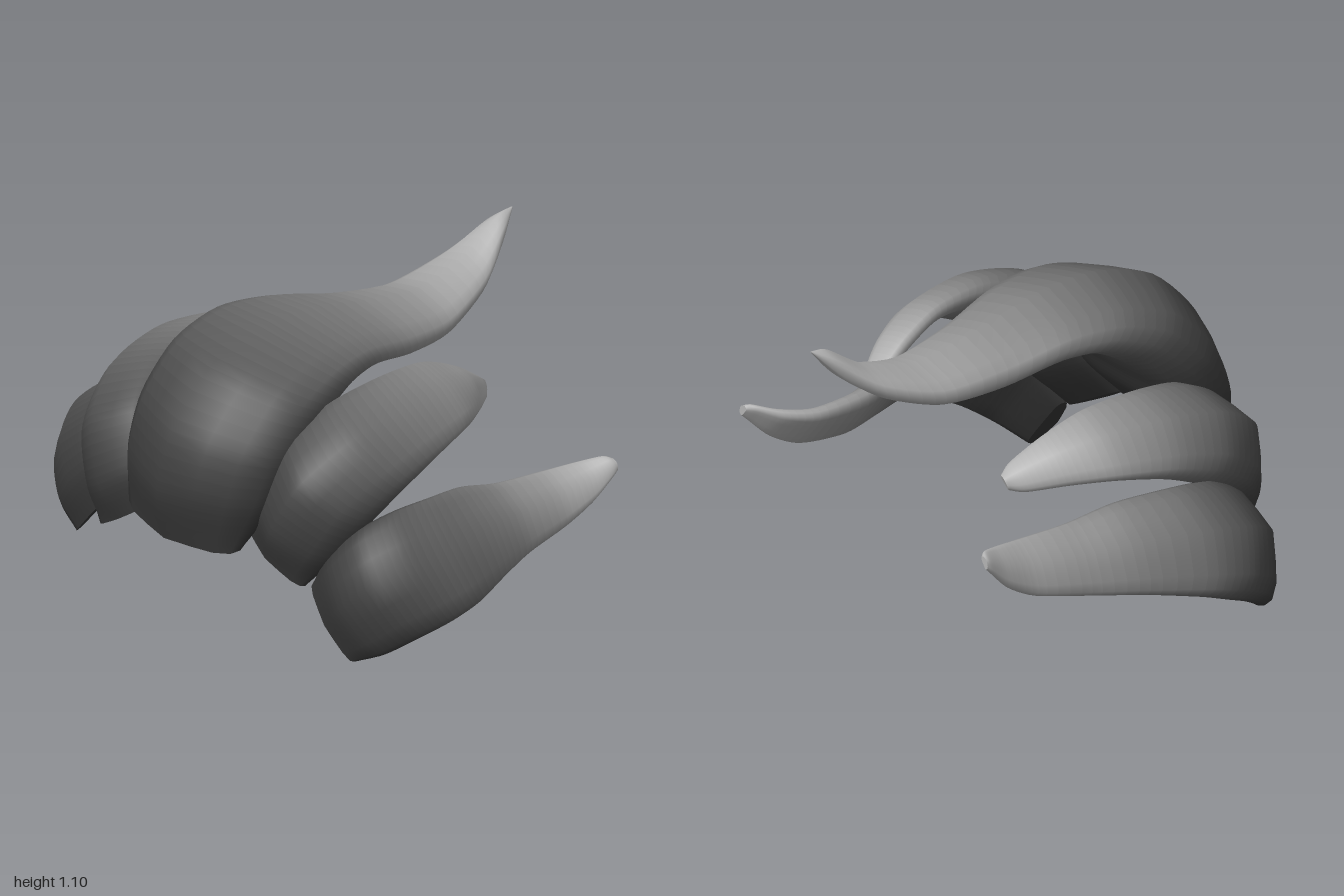
import * as THREE from 'three';

// Half of a lock's cross-section: [fraction of half width, fraction from outer to inner side]
const HALF = [[0, 0], [0.4, 0.12], [0.74, 0.25], [0.95, 0.44], [1, 0.64], [0.95, 0.85], [0.77, 0.97], [0.35, 1], [0, 1]];
const SECTION = [...HALF, ...HALF.slice(1, -1).reverse().map(([u, t]) => [-u, t])];

// Each row: outer z, outer height, inner z, inner height, sideways centre, half width
const CENTRE = [
  [0.85, 0.39, 0.67, 0.42, 0, 0.28],
  [0.885, 0.6, 0.5, 0.59, 0, 0.345],
  [0.81, 0.82, 0.41, 0.72, 0, 0.36],
  [0.62, 1.01, 0.3, 0.83, 0, 0.355],
  [0.37, 1.08, 0.18, 0.89, 0, 0.33],
  [0.12, 1.06, 0.03, 0.88, 0, 0.28],
  [-0.15, 0.98, -0.18, 0.815, 0, 0.225],
  [-0.42, 0.925, -0.4, 0.795, 0, 0.18],
  [-0.65, 0.975, -0.62, 0.86, 0, 0.125],
  [-0.81, 1.07, -0.76, 0.95, 0, 0.06],
  [-0.88, 1.08, -0.88, 1.075, 0, 0.004],
];
const MIDDLE = [
  [0.74, 0.43, 0.65, 0.44, 0.13, 0.168],
  [0.77, 0.58, 0.52, 0.58, 0.11, 0.205],
  [0.7, 0.8, 0.42, 0.71, 0.09, 0.22],
  [0.5, 0.955, 0.31, 0.81, 0.085, 0.21],
  [0.25, 1.0, 0.16, 0.87, 0.075, 0.185],
  [0, 0.955, 0, 0.86, 0.05, 0.155],
  [-0.17, 0.87, -0.14, 0.79, 0.025, 0.11],
  [-0.29, 0.77, -0.26, 0.71, 0.005, 0.065],
  [-0.33, 0.73, -0.31, 0.69, 0, 0.03],
];
const OUTER = [
  [0.6, 0.58, 0.54, 0.59, 0.315, 0.16],
  [0.615, 0.72, 0.46, 0.7, 0.295, 0.205],
  [0.55, 0.88, 0.36, 0.78, 0.27, 0.225],
  [0.42, 0.97, 0.26, 0.83, 0.255, 0.225],
  [0.25, 0.985, 0.15, 0.85, 0.235, 0.21],
  [0, 0.905, -0.02, 0.79, 0.19, 0.18],
  [-0.2, 0.83, -0.2, 0.73, 0.165, 0.14],
  [-0.4, 0.8, -0.4, 0.72, 0.14, 0.11],
  [-0.53, 0.83, -0.52, 0.76, 0.12, 0.08],
  [-0.61, 0.87, -0.6, 0.82, 0.1, 0.045],
  [-0.63, 0.875, -0.63, 0.845, 0.1, 0.025],
];

// Colour bands from the dark root to the pale tip
const BANDS = 50;
const makeBands = () => Array.from({ length: BANDS }, (_, i) => {
  const v = 0.2 + 0.5 * THREE.MathUtils.smoothstep(i / BANDS, 0, 0.92);
  const color = new THREE.Color().setRGB(v, v, v, THREE.SRGBColorSpace);
  return new THREE.MeshStandardMaterial({ color, side: THREE.DoubleSide });
});

// Skins the sections of one lock smoothly and closes both ends
function lockGeometry(rows, side, { out = 0, back = 0, shift = 0, leanSide = 0, leanOut = 0 }) {
  const n = SECTION.length, pos = [], index = [];
  const rails = SECTION.map(([u, t]) => new THREE.CatmullRomCurve3(rows.map(([oz, oy, iz, iy, cu, w]) => {
    const z = oz + (iz - oz) * t;
    const tail = 0.6 - z;
    return new THREE.Vector3(
      side * (cu + shift + leanSide * tail) + u * w,
      oy + (iy - oy) * t + out + leanOut * tail,
      z + back,
    );
  }), false, 'catmullrom', 0.4));
  const rings = Array.from({ length: BANDS + 1 }, (_, i) => rails.map(r => r.getPoint(i / BANDS)));
  const g = new THREE.BufferGeometry();

  rings.forEach((ring, i) => {
    ring.forEach(p => pos.push(p.x, p.y, p.z));
    if (i === 0) return;
    g.addGroup(index.length, n * 6, i - 1);
    for (let k = 0; k < n; k++) {
      const k2 = (k + 1) % n, a = (i - 1) * n, b = i * n;
      index.push(a + k, a + k2, b + k, a + k2, b + k2, b + k);
    }
  });

  // End caps have their own vertices so the rim stays sharp
  const cap = (ring, band) => {
    const start = pos.length / 3;
    const c = new THREE.Vector3();
    ring.forEach(p => {
      pos.push(p.x, p.y, p.z);
      c.addScaledVector(p, 1 / n);
    });
    pos.push(c.x, c.y, c.z);
    g.addGroup(index.length, n * 3, band);
    for (let k = 0; k < n; k++) {
      const k2 = (k + 1) % n;
      if (band === 0) index.push(start + n, start + k2, start + k);
      else index.push(start + n, start + k, start + k2);
    }
  };
  cap(rings[0], 0);
  cap(rings[BANDS], BANDS - 1);

  g.setAttribute('position', new THREE.Float32BufferAttribute(pos, 3));
  g.setIndex(index);
  g.computeVertexNormals();
  return g;
}

export function createModel() {
  const group = new THREE.Group();
  group.name = 'sweptHair';
  const materials = makeBands();

  // Locks fan out around the z axis; angle is measured from straight up
  const addLock = (name, rows, side, angle, options = {}) => {
    const mesh = new THREE.Mesh(lockGeometry(rows, side, options), materials);
    mesh.name = name;
    mesh.rotation.z = -side * THREE.MathUtils.degToRad(angle);
    group.add(mesh);
  };

  addLock('centreLock', CENTRE, 1, 0);
  addLock('rightMiddleLock', MIDDLE, -1, 36);
  addLock('leftMiddleLock', MIDDLE, 1, 28, { out: 0.075, back: -0.06 });
  addLock('rightOuterLock', OUTER, -1, 52);
  addLock('leftOuterLock', OUTER, 1, 48, { out: 0.01, back: 0.035, shift: -0.05, leanSide: 0.13, leanOut: 0.06 });
  return group;
}
